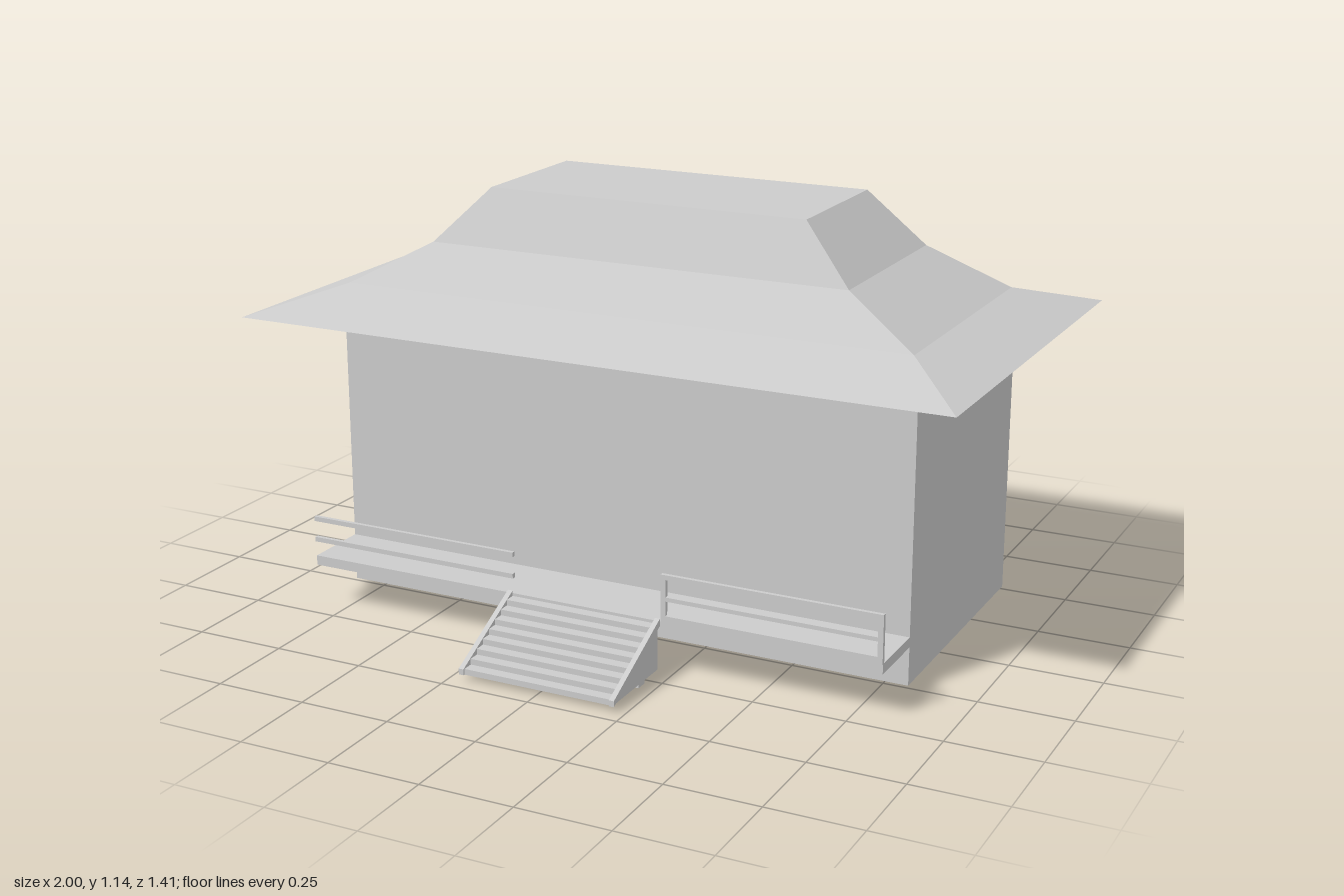
import * as THREE from 'three';

const material = new THREE.MeshStandardMaterial({ color: 0xcccccc, flatShading: true });

function add(parent, name, geometry) {
  const mesh = new THREE.Mesh(geometry, material);
  mesh.name = name;
  parent.add(mesh);
  return mesh;
}

// Box given by its lower and upper limits on each axis
function box(parent, name, [x0, x1], [y0, y1], [z0, z1]) {
  const mesh = add(parent, name, new THREE.BoxGeometry(x1 - x0, y1 - y0, z1 - z0));
  mesh.position.set((x0 + x1) / 2, (y0 + y1) / 2, (z0 + z1) / 2);
}

// Side outline of [z, y] points, extruded from x0 to x1
function sideProfile(parent, name, points, x0, x1) {
  const shape = new THREE.Shape(points.map(([z, y]) => new THREE.Vector2(-z, y)));
  const geometry = new THREE.ExtrudeGeometry(shape, { depth: x1 - x0, bevelEnabled: false });
  geometry.rotateY(Math.PI / 2); // shape x becomes -z, depth becomes +x
  geometry.translate(x0, 0, 0);
  add(parent, name, geometry);
}

// Closed hipped roof lofted through rectangular rings
function roofGeometry() {
  const rings = [ // half width, back z, front z, height
    [1.0, -0.7, 0.5, 0.81],
    [0.81, -0.48, 0.27, 0.875],
    [0.6, -0.38, 0.172, 0.99],
    [0.455, -0.31, 0.105, 1.14],
  ];
  const positions = [];
  const index = [];
  rings.forEach(([w, back, front, y]) => {
    positions.push(-w, y, front, w, y, front, w, y, back, -w, y, back);
  });
  for (let r = 0; r < rings.length - 1; r++) {
    for (let i = 0; i < 4; i++) {
      const a = r * 4 + i, b = r * 4 + (i + 1) % 4;
      index.push(a, b, b + 4, a, b + 4, a + 4);
    }
  }
  const t = (rings.length - 1) * 4;
  index.push(t, t + 1, t + 2, t, t + 2, t + 3); // flat top
  index.push(0, 2, 1, 0, 3, 2); // flat soffit
  const geometry = new THREE.BufferGeometry();
  geometry.setAttribute('position', new THREE.Float32BufferAttribute(positions, 3));
  geometry.setIndex(index);
  const flat = geometry.toNonIndexed();
  flat.computeVertexNormals();
  return flat;
}

function createStairs() {
  const stairs = new THREE.Group();
  stairs.name = 'stairs';

  // Solid flight of steps
  const count = 8, back = 0.457, front = 0.705, low = 0.015, high = 0.14;
  const run = (front - back) / count, rise = (high - low) / count;
  const outline = [[front, low]];
  for (let i = 0; i < count; i++) {
    outline.push([front - i * run, low + (i + 1) * rise]);
    outline.push([front - (i + 1) * run, low + (i + 1) * rise]);
  }
  outline.push([back, low]);
  sideProfile(stairs, 'steps', outline, -0.21, 0.21);

  // Sloping stringers and the triangular panels below them
  for (const side of [-1, 1]) {
    const span = (a, b) => (side > 0 ? [a, b] : [-b, -a]);
    sideProfile(stairs, 'stringer',
      [[0.71, 0.015], [0.71, 0.031], [0.457, 0.155], [0.457, 0.135]], ...span(0.208, 0.222));
    sideProfile(stairs, 'sidePanel',
      [[0.71, 0.015], [0.457, 0.135], [0.457, 0.015]], ...span(0.208, 0.216));
  }

  // Ground battens under the flight
  for (const [z0, z1, y] of [[0.457, 0.488, 0.009], [0.52, 0.553, 0], [0.645, 0.678, 0.009]]) {
    box(stairs, 'batten', [-0.21, 0.21], [y, 0.018], [z0, z1]);
  }
  return stairs;
}

function createRailings() {
  const railings = new THREE.Group();
  railings.name = 'railings';
  const z = [0.449, 0.46];

  // Open pair of bars on the model's right
  for (const y of [0.19, 0.249]) {
    box(railings, 'railBar', [-0.825, -0.205], [y, y + 0.013], z);
  }

  // Framed railing on the model's left
  const frame = new THREE.Shape();
  const rect = (path, x0, x1, y0, y1) =>
    path.moveTo(x0, y0).lineTo(x1, y0).lineTo(x1, y1).lineTo(x0, y1).closePath();
  rect(frame, 0.225, 0.825, 0.147, 0.277);
  for (const [y0, y1] of [[0.166, 0.206], [0.217, 0.264]]) {
    const hole = new THREE.Path();
    rect(hole, 0.239, 0.811, y0, y1);
    frame.holes.push(hole);
  }
  const geometry = new THREE.ExtrudeGeometry(frame, { depth: z[1] - z[0], bevelEnabled: false });
  geometry.translate(0, 0, z[0]);
  add(railings, 'railFrame', geometry);
  return railings;
}

export function createModel() {
  const house = new THREE.Group();
  house.name = 'house';
  box(house, 'walls', [-0.825, 0.825], [0.017, 0.812], [-0.477, 0.272]);
  add(house, 'roof', roofGeometry());
  box(house, 'porchDeck', [-0.825, 0.825], [0.121, 0.148], [0.27, 0.457]);
  house.add(createRailings(), createStairs());
  return house;
}
